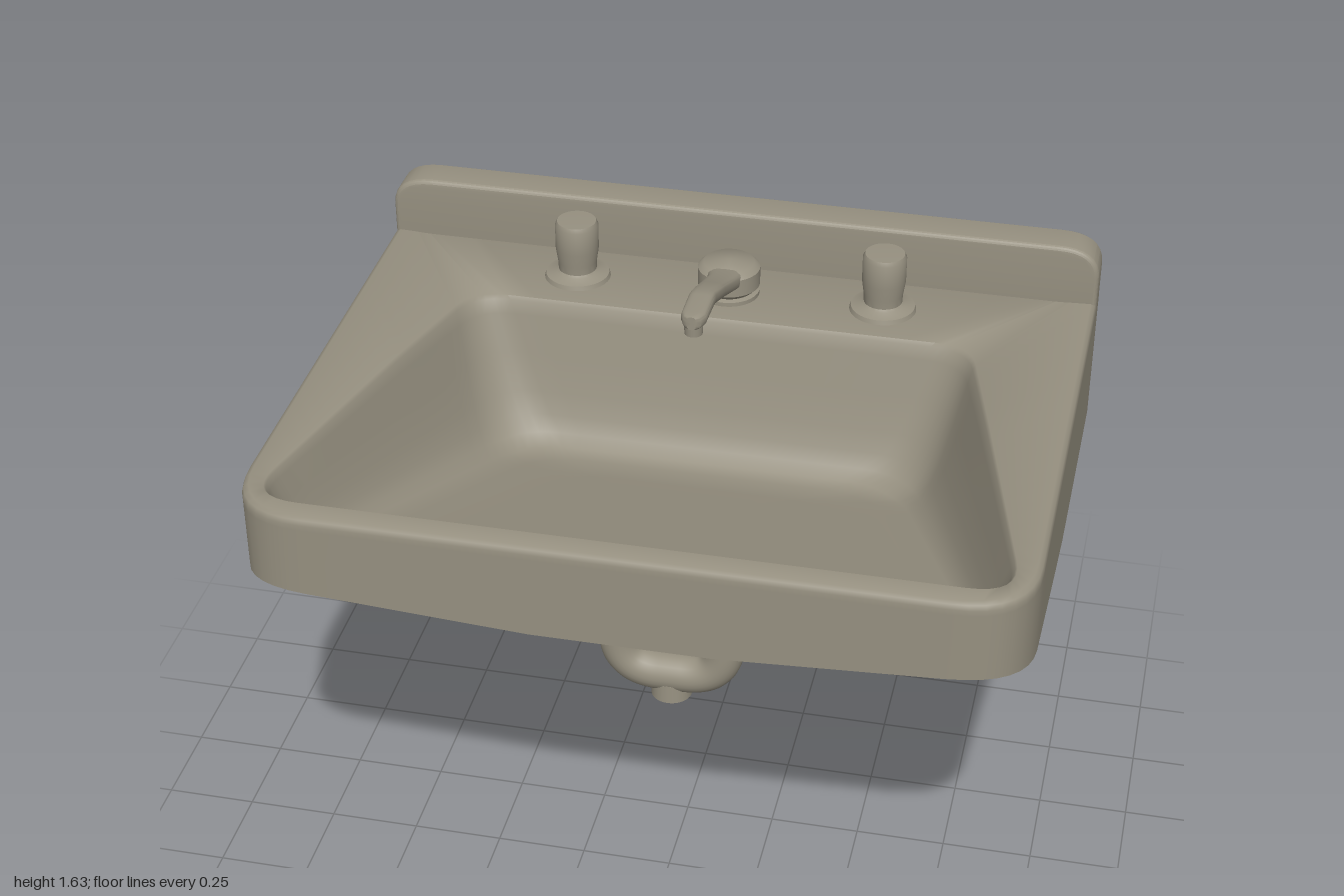
import * as THREE from 'three';
import { toCreasedNormals } from 'three/addons/utils/BufferGeometryUtils.js';

const V = (x, y, z) => new THREE.Vector3(x, y, z);
const lerp = THREE.MathUtils.lerp;
const clamp = THREE.MathUtils.clamp;

// Plan outline through rounded corners [x, z, radius], evenly sampled so outlines match point for point
function outline(corners, cornerSteps = 8, edgeSteps = 14) {
  const pts = [];
  const n = corners.length;
  const c = corners.map(([x, z]) => new THREE.Vector2(x, z));
  const toward = (i, j, r) => c[i].clone().add(c[j].clone().sub(c[i]).setLength(r));
  for (let i = 0; i < n; i++) {
    const prev = (i + n - 1) % n, next = (i + 1) % n;
    const start = toward(i, prev, corners[i][2]);
    const end = toward(i, next, corners[i][2]);
    const nextStart = toward(next, i, corners[next][2]);
    pts.push(...new THREE.QuadraticBezierCurve(start, c[i], end).getPoints(cornerSteps));
    for (let k = 1; k < edgeSteps; k++) pts.push(end.clone().lerp(nextStart, k / edgeSteps));
  }
  return pts;
}

// Skin between closed rings of equal length; the first and last ring may shrink to a point
function skin(rings, crease = 0.6) {
  const n = rings[0].length, pos = [], idx = [];
  rings.forEach(r => r.forEach(p => pos.push(p.x, p.y, p.z)));
  for (let i = 0; i < rings.length - 1; i++) {
    for (let j = 0; j < n; j++) {
      const a = i * n + j, b = i * n + (j + 1) % n;
      if (i > 0) idx.push(a, b, b + n);
      if (i < rings.length - 2) idx.push(a, b + n, a + n);
      if (i === 0) idx.push(a, b + n, a + n);
    }
  }
  const g = new THREE.BufferGeometry();
  g.setAttribute('position', new THREE.Float32BufferAttribute(pos, 3));
  g.setIndex(idx);
  return toCreasedNormals(g, crease);
}

// Underside height: deep at the back, rising to the front and to both sides
const keel = [[-0.77, 0.94], [-0.1, 0.95], [0.05, 0.98], [0.785, 1.18]];
function underside(x, z) {
  let y = keel[3][1];
  for (let i = 0; i < 3; i++) {
    const [z0, y0] = keel[i], [z1, y1] = keel[i + 1];
    if (z <= z1) { y = lerp(y0, y1, clamp((z - z0) / (z1 - z0), 0, 1)); break; }
  }
  const side = Math.max(0, (Math.abs(x) - 0.23) / 0.77);
  return y + side * lerp(0.09, 0.045, clamp(z / 0.785, 0, 1));
}
const floorY = z => 1.03 + Math.max(0, z + 0.2) * 0.25;
// the deck dips slightly toward the back lip of the bowl
const lipY = z => 1.44 - 0.015 * clamp(-z / 0.39, 0, 1);

function basinGeometry() {
  const outer = outline([[-1, 0.787, 0.2], [1, 0.787, 0.2], [1, -0.77, 0.01], [-1, -0.77, 0.01]]);
  const open = outline([[-0.965, 0.72, 0.14], [0.965, 0.72, 0.14], [0.695, -0.39, 0.1], [-0.695, -0.39, 0.1]]);
  const floor = outline([[-0.87, 0.69, 0.15], [0.87, 0.69, 0.15], [0.53, -0.25, 0.15], [-0.53, -0.25, 0.15]]);
  const rings = [];
  // underside, outward from the middle
  for (let k = 0; k <= 10; k++) {
    const s = k / 10;
    rings.push(outer.map(p => V(p.x * s, underside(p.x * s, p.y * s), p.y * s)));
  }
  // outer wall and rounded top edge
  for (const [s, y] of [[1, 1.405], [1, 1.42], [0.996, 1.434], [0.985, 1.44]]) {
    rings.push(outer.map(p => V(p.x * s, y, p.y * s)));
  }
  // bowl wall, from the lip into the floor
  for (const [h, d] of [[0, 0], [0.05, 0.025], [0.12, 0.12], [0.3, 0.38], [0.5, 0.65], [0.65, 0.8],
    [0.8, 0.91], [1, 0.98]]) {
    rings.push(open.map((p, i) => {
      const x = lerp(p.x, floor[i].x, h), z = lerp(p.y, floor[i].y, h);
      return V(x, lerp(lipY(p.y), floorY(z), d), z);
    }));
  }
  // bowl floor, inward to the middle
  for (const s of [0.88, 0.6, 0.3, 0]) {
    rings.push(floor.map(p => {
      const z = 0.1 + (p.y - 0.1) * s;
      return V(p.x * s, floorY(z), z);
    }));
  }
  return skin(rings, 0.9);
}

// Tube along a polyline whose inner corners [x, y, z, radius] are rounded
function pipeGeometry(points, radius, segments) {
  const path = new THREE.CurvePath();
  let from = V(...points[0].slice(0, 3));
  for (let i = 1; i < points.length; i++) {
    const p = V(...points[i].slice(0, 3));
    if (i === points.length - 1) { path.add(new THREE.LineCurve3(from, p)); break; }
    const r = points[i][3], next = V(...points[i + 1].slice(0, 3));
    const a = p.clone().add(from.clone().sub(p).setLength(r));
    const b = p.clone().add(next.sub(p).setLength(r));
    path.add(new THREE.LineCurve3(from, a));
    path.add(new THREE.QuadraticBezierCurve3(a, p, b));
    from = b;
  }
  return new THREE.TubeGeometry(path, segments, radius, 24, false);
}

const lathe = pts => toCreasedNormals(
  new THREE.LatheGeometry(pts.map(([r, y]) => new THREE.Vector2(r, y)), 32), 0.7);

export function createModel() {
  const group = new THREE.Group();
  const stone = new THREE.MeshStandardMaterial({ color: 0x969080, side: THREE.DoubleSide });
  stone.name = 'warm grey';
  const add = (name, geometry, x = 0, y = 0, z = 0) => {
    const m = new THREE.Mesh(geometry, stone);
    m.name = name;
    m.position.set(x, y, z);
    group.add(m);
    return m;
  };

  add('basin', basinGeometry());

  // upright back ledge with rounded top corners
  const b = 0.016, w = 1 - b, top = 1.605 - b;
  const s = new THREE.Shape();
  s.moveTo(-w, 1.4);
  s.lineTo(w, 1.4);
  s.lineTo(w, top - 0.07);
  s.quadraticCurveTo(w, top, w - 0.1, top);
  s.lineTo(-w + 0.1, top);
  s.quadraticCurveTo(-w, top, -w, top - 0.07);
  const ledge = new THREE.ExtrudeGeometry(s, {
    depth: 0.112 - 2 * b, bevelSize: b, bevelThickness: b, bevelSegments: 5, curveSegments: 8 });
  add('backLedge', toCreasedNormals(ledge, 0.3), 0, 0, -0.77 + b);

  // tap handles
  for (const x of [-0.43, 0.43]) {
    add('tapHandle', lathe([[0.092, 0], [0.088, 0.012], [0.06, 0.02], [0.053, 0.026], [0.054, 0.05],
      [0.06, 0.09], [0.06, 0.16], [0.054, 0.172], [0, 0.174]]), x, 1.431, -0.53);
  }

  // spout: round base, arm swept from soft box sections, nozzle
  add('spoutBase', lathe([[0.085, 0], [0.085, 0.012], [0.072, 0.016], [0.086, 0.03], [0.086, 0.08],
    [0.07, 0.095], [0, 0.102]]), 0, 1.431, -0.53);
  const arm = [[-0.53, 1.49, 0, 0], [-0.53, 1.49, 0.06, 0.03], [-0.44, 1.51, 0.042, 0.025],
    [-0.3, 1.566, 0.037, 0.024], [-0.19, 1.607, 0.035, 0.023], [-0.16, 1.611, 0.035, 0.021],
    [-0.07, 1.612, 0.034, 0.02], [-0.048, 1.612, 0.024, 0.02], [-0.04, 1.612, 0.012, 0.019],
    [-0.04, 1.612, 0, 0]];
  const soft = v => Math.sign(v) * Math.abs(v) ** 0.6;
  add('spoutArm', skin(arm.map(([z, y, rx, ry]) => Array.from({ length: 24 }, (_, k) => {
    const a = k / 24 * Math.PI * 2;
    return V(soft(Math.cos(a)) * rx, y + soft(Math.sin(a)) * ry, z);
  }))));
  add('spoutNozzle', new THREE.CylinderGeometry(0.026, 0.024, 0.035, 20), 0, 1.585, -0.07);

  // waste pipe: drain, offset, drop, trap and wall outlet
  add('wastePipe', pipeGeometry([
    [0, 0.98, -0.18], [0, 0.795, -0.18, 0.015], [0, 0.775, -0.523, 0.11], [0, 0.08, -0.523, 0.13],
    [-0.33, 0.08, -0.523, 0.13], [-0.33, 0.385, -0.523, 0.1], [-0.33, 0.385, -0.78],
  ], 0.062, 220));
  add('drainFlange', new THREE.CylinderGeometry(0.088, 0.08, 0.024, 32), 0, 0.947, -0.18);
  add('trapPlug', new THREE.CylinderGeometry(0.06, 0.063, 0.06, 24), -0.165, 0.03, -0.523);
  const collar = [[0.06, -0.02], [0.067, -0.012], [0.067, 0.012], [0.06, 0.02]];
  add('pipeCollar', lathe(collar), 0, 0.435, -0.523);
  add('pipeCollar', lathe(collar), -0.33, 0.23, -0.523);
  add('outletSocket', lathe([[0.06, 0], [0.066, 0.01], [0.068, 0.05], [0.075, 0.065], [0.075, 0.09],
    [0.062, 0.09]]), -0.33, 0.385, -0.7).rotation.x = -Math.PI / 2;

  // pull rod with its mounting pad, lever and cup
  add('rodPad', new THREE.CylinderGeometry(0.08, 0.05, 0.022, 28), 0, 0.934, -0.65);
  add('pullRod', new THREE.TubeGeometry(
    new THREE.LineCurve3(V(0, 0.94, -0.648), V(0, 0.385, -0.692)), 1, 0.009, 10));
  add('rodLever', new THREE.BoxGeometry(0.02, 0.022, 0.08), 0, 0.383, -0.67);
  add('rodCup', lathe([[0, 0], [0.02, 0], [0.03, 0.04], [0.05, 0.075], [0.076, 0.1], [0.07, 0.1],
    [0.044, 0.075], [0, 0.05]]), 0, 0.385, -0.69).rotation.x = -Math.PI / 2;

  return group;
}
